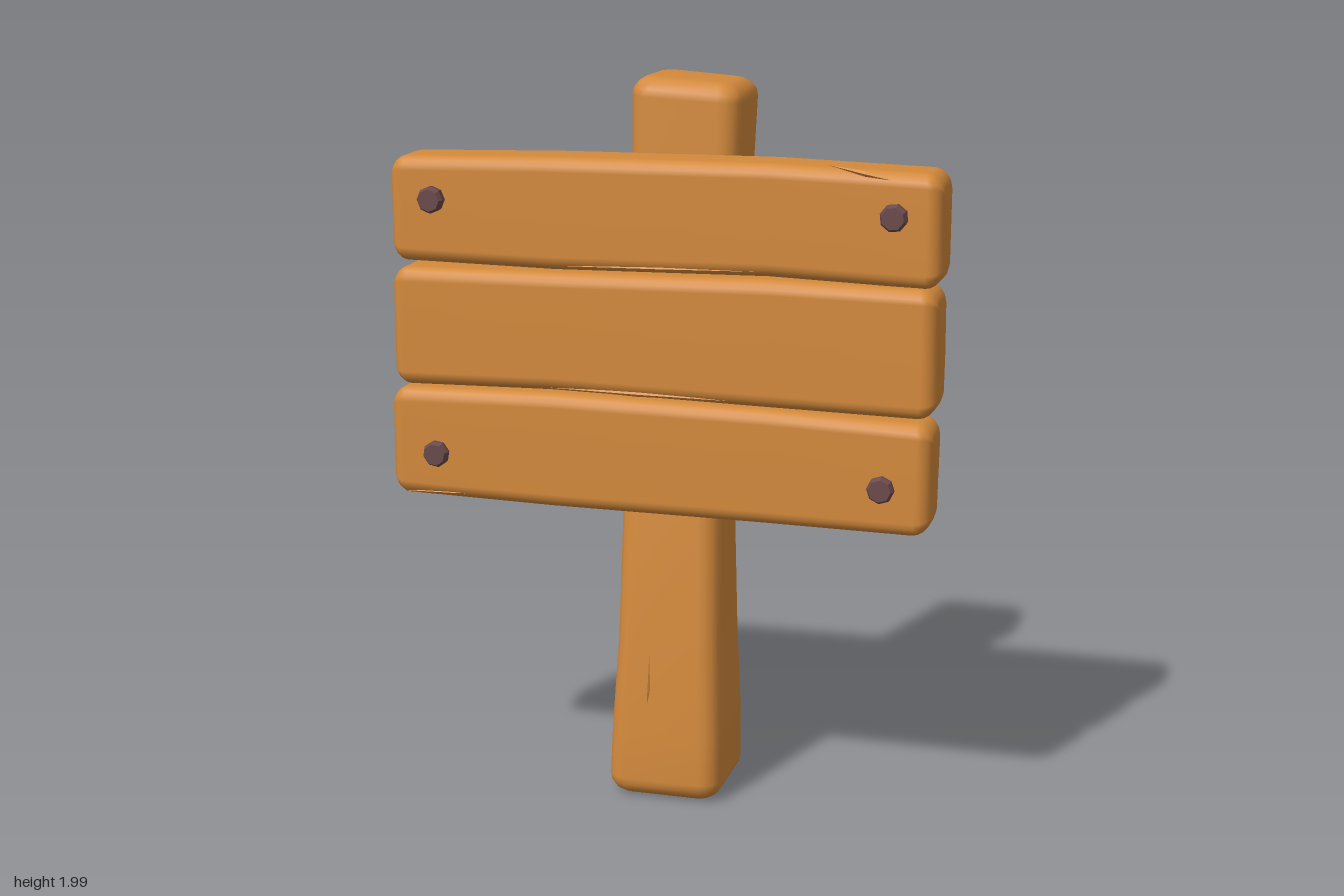
import * as THREE from 'three';

const wood = new THREE.MeshStandardMaterial({ color: 0xd48a3c });
wood.name = 'warm wood';
const iron = new THREE.MeshStandardMaterial({ color: 0x6b4a4c });
iron.name = 'dark iron';

// Rounded beam through sections [t, u0, u1, v0, v1]; place maps (u, v, t) to x, y, z
function beam(sections, r, place) {
  const SEG = 4, first = sections[0][0], last = sections[sections.length - 1][0];
  const at = (t) => {
    let i = 0;
    while (i < sections.length - 2 && t > sections[i + 1][0]) i++;
    const a = sections[i], b = sections[i + 1], k = (t - a[0]) / (b[0] - a[0]);
    return a.map((v, n) => v + (b[n] - v) * k);
  };
  const rings = [];
  const end = (t0, dir, k) => {
    const a = (k / SEG) * Math.PI / 2;
    rings.push([at(t0 + dir * r * (1 - Math.sin(a))), r * (1 - Math.cos(a))]);
  };
  for (let k = SEG; k >= 0; k--) end(first, 1, k);
  sections.slice(1, -1).forEach((s) => rings.push([s, 0]));
  for (let k = 0; k <= SEG; k++) end(last, -1, k);

  const pos = [], idx = [], N = 4 * (SEG + 1);
  for (const [[t, u0, u1, v0, v1], inset] of rings) {
    const rr = r - inset * 0.6, d = inset + rr;
    for (let c = 0; c < 4; c++) {
      const cu = c === 0 || c === 3 ? u1 - d : u0 + d;
      const cv = c < 2 ? v1 - d : v0 + d;
      for (let k = 0; k <= SEG; k++) {
        const a = (c + k / SEG) * Math.PI / 2;
        pos.push(...place(cu + rr * Math.cos(a), cv + rr * Math.sin(a), t));
      }
    }
  }
  for (let i = 0; i < rings.length - 1; i++) {
    for (let j = 0; j < N; j++) {
      const a = i * N + j, b = i * N + (j + 1) % N;
      idx.push(a, b, b + N, a, b + N, a + N);
    }
  }
  // End caps
  [0, rings.length - 1].forEach((i, e) => {
    const [t, u0, u1, v0, v1] = rings[i][0], mid = pos.length / 3;
    pos.push(...place((u0 + u1) / 2, (v0 + v1) / 2, t));
    for (let j = 0; j < N; j++) {
      const a = i * N + j, b = i * N + (j + 1) % N;
      if (e) idx.push(mid, a, b); else idx.push(mid, b, a);
    }
  });
  const g = new THREE.BufferGeometry();
  g.setAttribute('position', new THREE.Float32BufferAttribute(pos, 3));
  g.setIndex(idx);
  g.computeVertexNormals();
  return g;
}

export function createModel() {
  const model = new THREE.Group();
  model.name = 'signpost';
  const add = (name, geometry, material) => {
    const mesh = new THREE.Mesh(geometry, material);
    mesh.name = name;
    model.add(mesh);
    return mesh;
  };

  // Leaning post, flared at the foot: [y, back, front, x min, x max]
  const post = [
    [0, -0.14, 0.18, -0.165, 0.16],
    [0.2, -0.143, 0.172, -0.158, 0.157],
    [0.45, -0.135, 0.15, -0.145, 0.148],
    [0.8, -0.13, 0.12, -0.14, 0.14],
    [1.12, -0.142, 0.075, -0.138, 0.142],
    [1.4, -0.192, 0.045, -0.138, 0.15],
    [1.7, -0.23, 0.025, -0.138, 0.16],
    [2, -0.27, 0.015, -0.14, 0.165],
  ];
  // The top is cut at a slight slant
  const slant = (z, x, y) => [x, y - Math.max(0, y - 1.8) * (0.06 + 0.35 * x), z];
  add('post', beam(post, 0.055, slant), wood);

  // Three uneven planks: [x, bottom, top, back, front]
  const planks = {
    topPlank: [
      [-0.76, 1.5, 1.785, 0.03, 0.215],
      [-0.3, 1.495, 1.797, 0.03, 0.22],
      [0.3, 1.505, 1.802, 0.03, 0.22],
      [0.757, 1.49, 1.79, 0.032, 0.215],
    ],
    middlePlank: [
      [-0.757, 1.16, 1.487, 0.055, 0.235],
      [-0.3, 1.17, 1.492, 0.052, 0.24],
      [0.3, 1.16, 1.502, 0.052, 0.24],
      [0.757, 1.152, 1.495, 0.055, 0.235],
    ],
    bottomPlank: [
      [-0.762, 0.855, 1.155, 0.075, 0.245],
      [-0.3, 0.848, 1.165, 0.072, 0.25],
      [0.3, 0.846, 1.158, 0.072, 0.25],
      [0.75, 0.84, 1.143, 0.078, 0.245],
    ],
  };
  for (const [name, s] of Object.entries(planks)) {
    const mid = (s[0][1] + s[0][2]) / 2;
    // Ends bow gently outwards
    add(name, beam(s, 0.038, (y, z, x) => [x * (1 - 0.9 * (y - mid) ** 2), y, z]), wood);
  }

  // Bolt heads: x, y, front z
  const bolts = [
    [-0.625, 1.675, 0.25], [0.63, 1.68, 0.25],
    [-0.618, 0.98, 0.272], [0.615, 0.97, 0.272],
  ];
  const profile = [[0, -0.05], [0.034, -0.05], [0.037, -0.012], [0.03, 0], [0, 0]];
  const head = new THREE.LatheGeometry(profile.map((p) => new THREE.Vector2(...p)), 8)
    .toNonIndexed();
  head.computeVertexNormals();
  head.rotateX(Math.PI / 2);
  bolts.forEach(([x, y, z], i) => {
    const bolt = add('bolt' + (i + 1), head, iron);
    bolt.position.set(x, y, z);
    bolt.rotation.z = i * 0.5;
  });

  // Slim raised splinters along the grain: x, y, z, length, tilt
  const splinter = new THREE.OctahedronGeometry(0.5);
  const splinters = [
    [0, 1.515, 0.212, 0.55, 0.02], [-0.05, 1.178, 0.232, 0.5, -0.01],
    [-0.58, 0.868, 0.236, 0.3, 0.03], [0.55, 1.786, 0.21, 0.2, -0.2],
    [-0.045, 0.31, 0.161, 0.22, 1.53], [0.05, 0.9, -0.132, 0.45, 1.55],
    [-0.04, 1.45, -0.199, 0.4, 1.6],
  ];
  splinters.forEach(([x, y, z, length, tilt], i) => {
    const mesh = add('splinter' + (i + 1), splinter, wood);
    mesh.position.set(x, y, z);
    mesh.scale.set(length, 0.014, 0.012);
    mesh.rotation.z = tilt;
  });
  return model;
}
